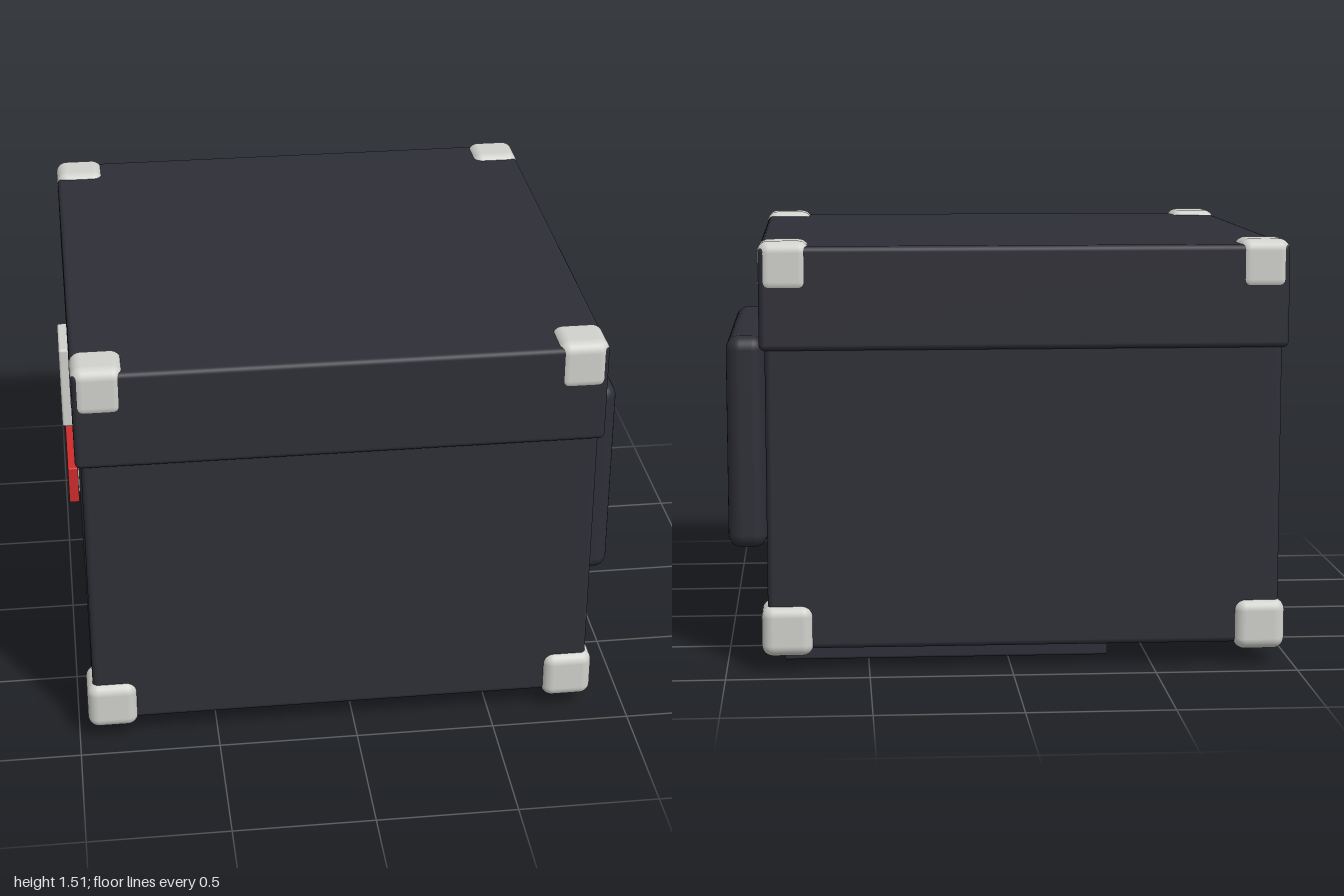
import * as THREE from 'three';
import { RoundedBoxGeometry } from 'three/addons/geometries/RoundedBoxGeometry.js';

function material(name, color) {
  const m = new THREE.MeshStandardMaterial({ color });
  m.name = name;
  return m;
}

// Rounded block given by its lower and upper corners
function block(name, mat, [x0, y0, z0], [x1, y1, z1], radius) {
  const geometry = new RoundedBoxGeometry(x1 - x0, y1 - y0, z1 - z0, 4, radius);
  const mesh = new THREE.Mesh(geometry, mat);
  mesh.position.set((x0 + x1) / 2, (y0 + y1) / 2, (z0 + z1) / 2);
  mesh.name = name;
  return mesh;
}

export function createModel() {
  const group = new THREE.Group();
  group.name = 'case';
  const dark = material('charcoal', 0x2e2e37);
  const grey = material('lightGrey', 0xd0d0cc);
  const red = material('red', 0xcc2c2c);

  // Main box with an overhanging lid
  group.add(block('body', dark, [-0.945, 0.082, -0.91], [0.853, 1.16, 0.91], 0.02));
  group.add(block('lid', dark, [-0.965, 1.133, -0.93], [0.872, 1.492, 0.93], 0.02));

  // Padded side panel and base plate
  group.add(block('sidePanel', dark, [0.86, 0.375, -0.582], [1, 1.147, 0.582], 0.05));
  group.add(block('basePlate', dark, [-0.36, 0, -0.727], [0.8, 0.088, 0.727], 0.01));

  // Latch and label strip on the opposite side
  group.add(block('latch', grey, [-1, 0.863, -0.115], [-0.94, 1.185, 0.115], 0.01));
  group.add(block('labelStrip', red, [-0.99, 0.665, -0.338], [-0.953, 0.81, 0.338], 0.005));

  // Protective caps on all eight corners
  const cap = new RoundedBoxGeometry(0.18, 0.18, 0.18, 5, 0.04);
  const corners = new THREE.Group();
  corners.name = 'cornerCaps';
  for (const x of [-0.877, 0.785]) {
    for (const y of [0.148, 1.42]) {
      for (const z of [-0.845, 0.845]) {
        const mesh = new THREE.Mesh(cap, grey);
        mesh.position.set(x, y, z);
        mesh.name = 'cornerCap';
        corners.add(mesh);
      }
    }
  }
  group.add(corners);
  return group;
}
